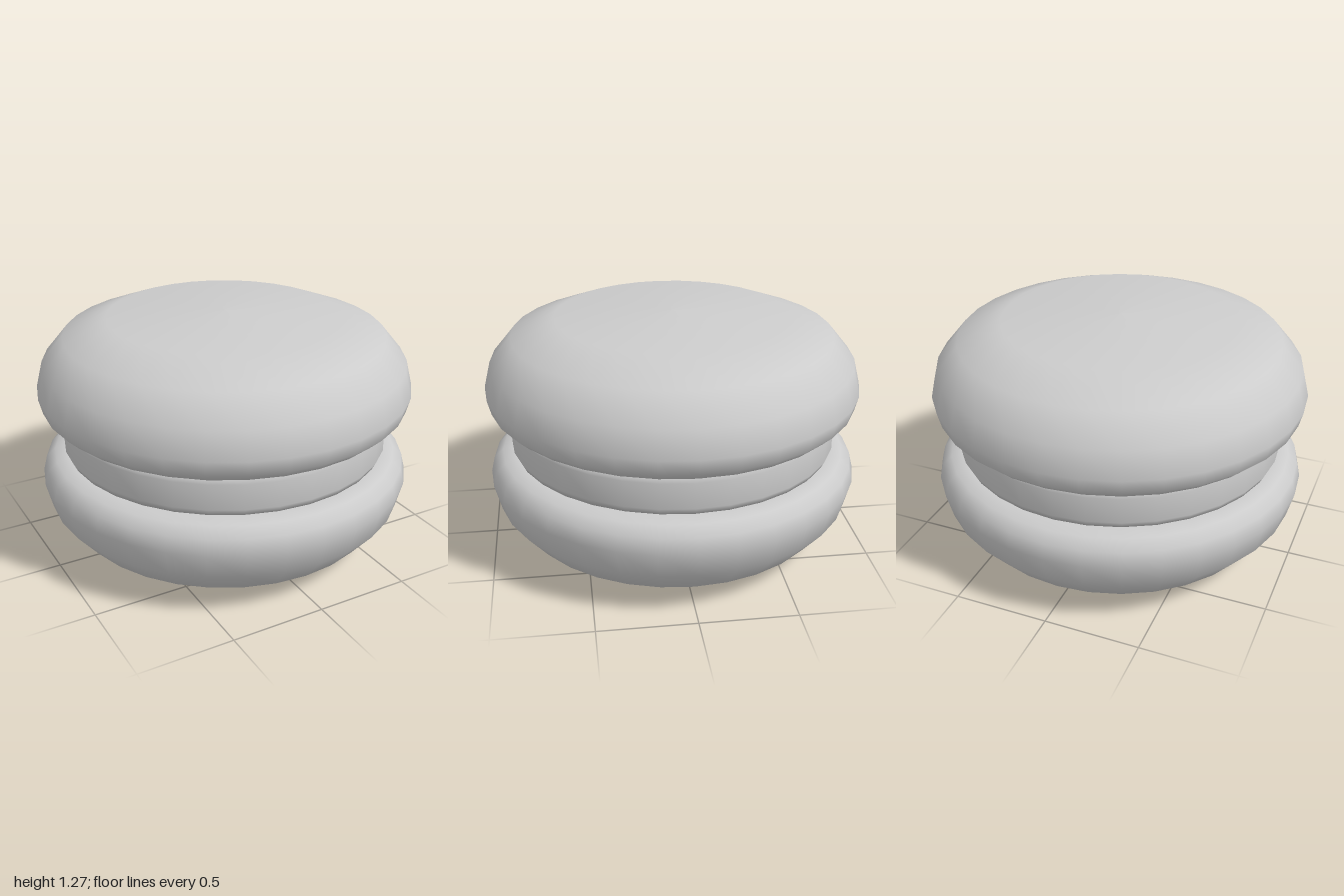
import * as THREE from 'three';

const SIDES = 32;
const MID = 0.634; // height of the mirror plane between the two shells

function lathe(name, points, material) {
  const profile = points.map(([r, y]) => new THREE.Vector2(r, y));
  // start at a quarter turn so that a corner lies on each axis
  const mesh = new THREE.Mesh(new THREE.LatheGeometry(profile, SIDES), material);
  mesh.name = name;
  return mesh;
}

export function createModel() {
  const group = new THREE.Group();
  group.name = 'sandwichBiscuit';
  const material = new THREE.MeshStandardMaterial({ color: 0xcccccc });

  // Domed shell profile, from the flat underside up to the crown
  const shell = [
    [0, 0.738], [0.86, 0.738], [0.93, 0.755], [0.98, 0.802], [1, 0.882],
    [0.965, 1.02], [0.85, 1.158], [0.62, 1.246], [0, 1.267],
  ];
  group.add(lathe('topShell', shell, material));

  // Bottom shell is the same profile mirrored in height
  const mirrored = shell.map(([r, y]) => [r, 2 * MID - y]).reverse();
  group.add(lathe('bottomShell', mirrored, material));

  // Cream filling with slightly rounded edges, tucked into both shells
  const filling = [
    [0, 0.52], [0.86, 0.53], [0.878, 0.566], [0.878, 0.702], [0.86, 0.738], [0, 0.748],
  ];
  group.add(lathe('filling', filling, material));

  return group;
}
